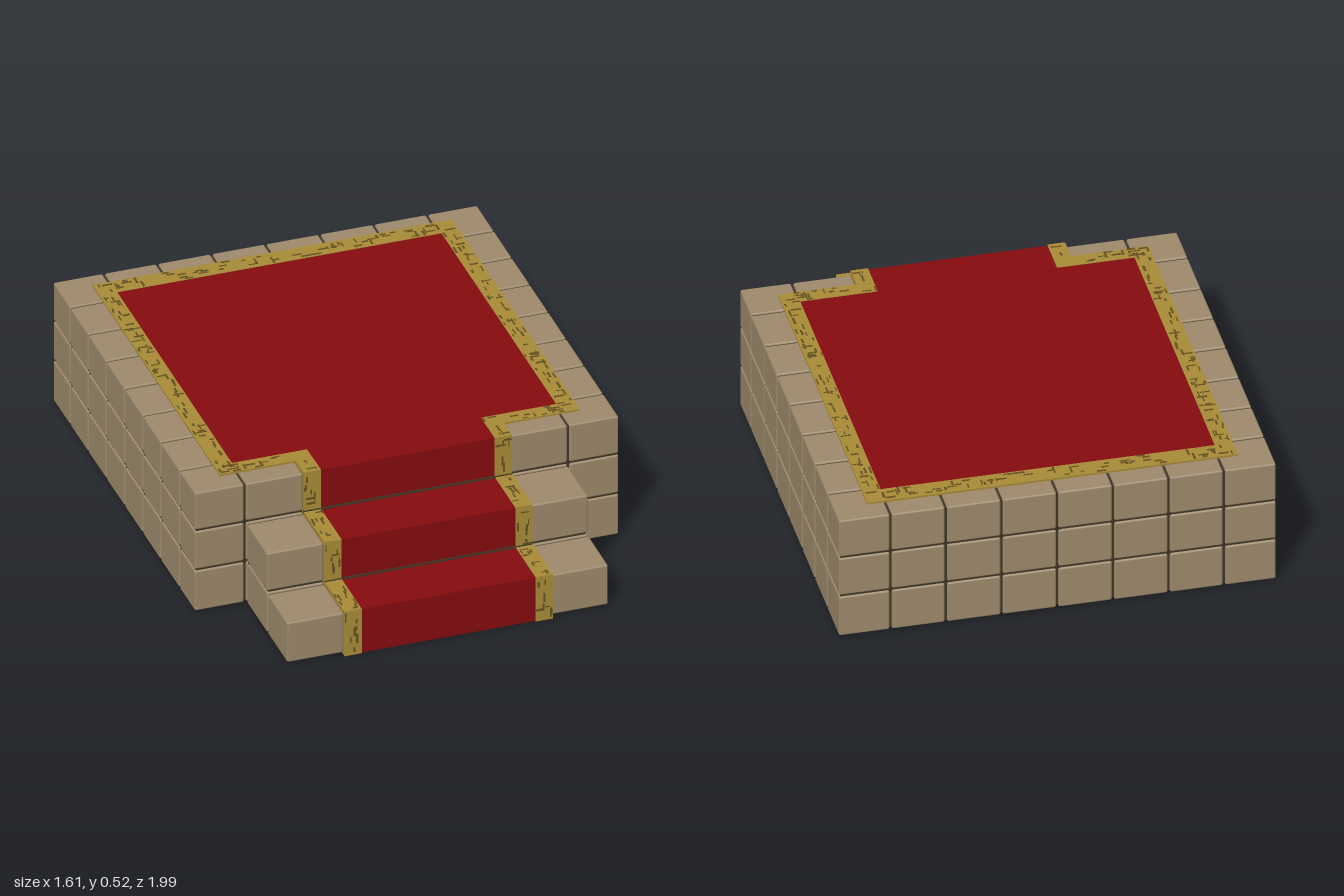
import * as THREE from 'three';
import { mergeGeometries } from 'three/addons/utils/BufferGeometryUtils.js';
import { RoundedBoxGeometry } from 'three/addons/geometries/RoundedBoxGeometry.js';

const mat = (name, color) => {
  const m = new THREE.MeshStandardMaterial({ color });
  m.name = name;
  return m;
};

// Joints between the stones, and the stair treads as [front z, top y]
const ROWS = [0.006, 0.18, 0.345, 0.508];
const ZS = [-0.998, -0.81, -0.615, -0.42, -0.22, -0.025, 0.17, 0.375, 0.548];
const XS = [-0.808, -0.613, -0.41, -0.205, 0, 0.205, 0.41, 0.613, 0.808];
const STEPS = [[0.548, 0.508], [0.772, 0.345], [0.992, 0.18]];
const RUN = 0.33, EDGE = 0.395;

function box(x0, x1, y0, y1, z0, z1) {
  return new THREE.BoxGeometry(x1 - x0, y1 - y0, z1 - z0)
    .translate((x0 + x1) / 2, (y0 + y1) / 2, (z0 + z1) / 2);
}

// One stone, slightly smaller than its cell so that the mortar shows
function stone(x0, x1, y0, y1, z0, z1) {
  const g = 0.008;
  return new RoundedBoxGeometry(x1 - x0 - g, y1 - y0 - g, z1 - z0 - g, 1, 0.007)
    .translate((x0 + x1) / 2, (y0 + y1) / 2, (z0 + z1) / 2);
}

// Flat plate from an x/z outline, its top at the given height
function plate(points, top, depth) {
  const shape = new THREE.Shape(points.map(p => new THREE.Vector2(...p)));
  return new THREE.ExtrudeGeometry(shape, { depth, bevelEnabled: false })
    .rotateX(Math.PI / 2).translate(0, top, 0);
}

// Strip that runs down the stairs, raised a little above the stones
function runner(x0, x1, lift) {
  const pts = [[0.46, 0.02], [0.46, STEPS[0][1] + lift]];
  STEPS.forEach(([z, y], i) => {
    pts.push([z + lift, y + lift]);
    pts.push([z + lift, i < 2 ? STEPS[i + 1][1] + lift : 0.003]);
  });
  pts.push([0.9, 0.003]);
  const shape = new THREE.Shape(pts.map(p => new THREE.Vector2(...p)));
  return new THREE.ExtrudeGeometry(shape, { depth: x1 - x0, bevelEnabled: false })
    .rotateY(-Math.PI / 2).translate(x1, 0, 0);
}

const redOutline = end => [[-0.615, -0.84], [0.615, -0.84], [0.615, 0.405], [RUN, 0.405],
  [RUN, end], [-RUN, end], [-RUN, 0.405], [-0.615, 0.405]];
const trimOutline = end => [[-EDGE, end], [-EDGE, 0.465], [-0.682, 0.465], [-0.682, -0.915],
  [0.682, -0.915], [0.682, 0.465], [EDGE, 0.465], [EDGE, end], [RUN, end], [RUN, 0.405],
  [0.615, 0.405], [0.615, -0.84], [-0.615, -0.84], [-0.615, 0.405], [-RUN, 0.405], [-RUN, end]];

export function createModel() {
  const group = new THREE.Group();
  const stoneMat = mat('sandstone', 0x9e8a6c);
  const mortarMat = mat('mortar', 0x3f3526);
  const redMat = mat('red carpet', 0x860c0e);
  const goldMat = mat('gold trim', 0xaa8c38);
  const fleckMat = mat('worn gold', 0x66521f);
  const add = (name, geos, material) => {
    const m = new THREE.Mesh(mergeGeometries(geos.map(g => g.index ? g.toNonIndexed() : g)), material);
    m.name = name;
    group.add(m);
  };

  // Stones round the platform
  const wall = [], stairs = [];
  for (let r = 0; r < 3; r++) {
    const y0 = ROWS[r], y1 = ROWS[r + 1];
    for (let k = 0; k < 8; k++) {
      wall.push(stone(XS[k], XS[k + 1], y0, y1, ZS[0], ZS[1]));
      if (k > 0) {
        wall.push(stone(XS[0], XS[1], y0, y1, ZS[k], ZS[k + 1]));
        wall.push(stone(XS[7], XS[8], y0, y1, ZS[k], ZS[k + 1]));
      }
    }
    for (const [a, b] of [[-0.613, -0.39], [0.39, 0.613]]) {
      wall.push(stone(a, b, y0, y1, ZS[7], ZS[8]));
      // Stones flanking the stairs
      for (let s = 1; s < 3 - r; s++) stairs.push(stone(a, b, y0, y1, STEPS[s - 1][0], STEPS[s][0]));
    }
  }
  add('platformStones', wall, stoneMat);
  add('stairStones', stairs, stoneMat);

  // Mortar behind the joints
  const d = 0.011;
  add('mortarCore', [
    box(-0.808 + d, 0.808 - d, 0.006 + d, 0.508 - d, -0.998 + d, 0.548 - d),
    box(-0.613 + d, 0.613 - d, 0.006 + d, 0.345 - d, 0.5, 0.772 - d),
    box(-0.613 + d, 0.613 - d, 0.006 + d, 0.18 - d, 0.5, 0.992 - d)
  ], mortarMat);

  // Carpet on top, underneath and down the stairs
  add('carpet', [
    plate(redOutline(0.47), 0.512, 0.006),
    plate(redOutline(0.996), 0.008, 0.006),
    runner(-RUN, RUN, 0.004)
  ], redMat);
  add('carpetTrim', [
    plate(trimOutline(0.465), 0.514, 0.008),
    plate(trimOutline(0.998), 0.008, 0.008),
    runner(-EDGE, -RUN, 0.007), runner(RUN, EDGE, 0.007)
  ], goldMat);

  // Dark folds at the foot of each riser
  add('carpetFolds', STEPS.slice(0, 2).map(([z], i) => {
    const y = STEPS[i + 1][1];
    return box(-EDGE, EDGE, y, y + 0.01, z, z + 0.011);
  }), mortarMat);

  // Worn flecks scattered over the trim
  let seed = 7;
  const rnd = () => (seed = (seed * 16807) % 2147483647) / 2147483647;
  const flecks = [];
  const scatter = (x0, x1, y0, y1, z0, z1) => {
    const lo = [x0, y0, z0], size = [x1 - x0, y1 - y0, z1 - z0];
    const long = size.indexOf(Math.max(...size));
    const count = Math.ceil(size[long] / 0.022);
    for (let i = 0; i < count; i++) {
      const a = [], b = [];
      const along = rnd() < 0.7;
      for (let k = 0; k < 3; k++) {
        const thin = size[k] < 0.005;
        const len = thin ? size[k] : ((k === long) === along ? 0.015 + rnd() * 0.025 : 0.004 + rnd() * 0.005);
        a[k] = lo[k] + (thin ? 0 : rnd() * (size[k] - len));
        b[k] = a[k] + len;
      }
      flecks.push(box(a[0], b[0], a[1], b[1], a[2], b[2]));
    }
  };
  for (const [y0, y1, end] of [[0.5125, 0.5155, 0.55], [-0.001, 0.002, 0.99]]) {
    scatter(-0.68, 0.68, y0, y1, -0.913, -0.842);
    for (const s of [-1, 1]) {
      const side = (a, b, z0, z1) => scatter(Math.min(s * a, s * b), Math.max(s * a, s * b), y0, y1, z0, z1);
      side(0.617, 0.68, -0.84, 0.46);
      side(RUN, 0.68, 0.407, 0.463);
      side(RUN, EDGE, 0.465, end);
    }
  }
  for (const x of [-EDGE, RUN]) {
    STEPS.forEach(([z, y], i) => {
      const x1 = x + EDGE - RUN;
      scatter(x, x1, i < 2 ? STEPS[i + 1][1] + 0.01 : 0.006, y, z + 0.0055, z + 0.0085);
      if (i) scatter(x, x1, y + 0.0055, y + 0.0085, STEPS[i - 1][0] + 0.01, z);
    });
  }
  add('trimFlecks', flecks, fleckMat);
  return group;
}
